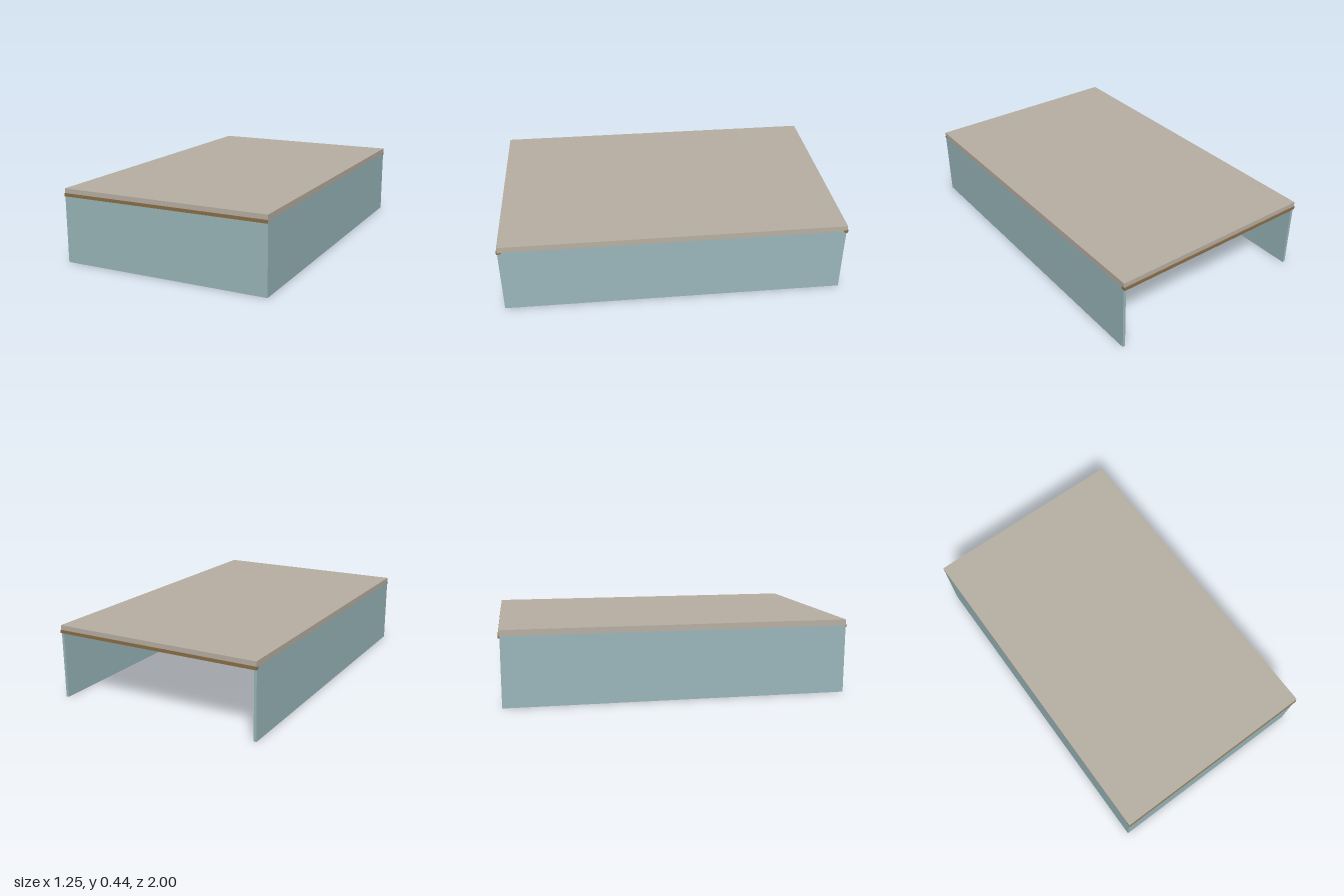
import * as THREE from 'three';

export function createModel() {
  const group = new THREE.Group();
  const mat = (name, color) => {
    const m = new THREE.MeshStandardMaterial({ color });
    m.name = name;
    return m;
  };
  const wallPaint = mat('teal wall', 0x9bb8bb);
  const roofPaint = mat('warm grey roof', 0xb8b0a4);
  const timber = mat('brown timber', 0x8b6f47);

  const add = (name, geometry, material, x, y, z) => {
    const mesh = new THREE.Mesh(geometry, material);
    mesh.name = name;
    mesh.position.set(x, y, z);
    group.add(mesh);
    return mesh;
  };
  const box = (name, material, w, h, d, x, y, z) =>
    add(name, new THREE.BoxGeometry(w, h, d), material, x, y, z);

  const W = 1.25, T = 0.016, wallTop = 0.4, roofTop = 0.435;

  // Flat roof slab
  box('roof', roofPaint, W, roofTop - wallTop, 1.99, 0, (roofTop + wallTop) / 2, 0);

  // Side walls, with an inner rail along the top of each
  for (const side of [1, -1]) {
    box('sideWall', wallPaint, T, wallTop, 1.985, side * (W / 2 - T / 2), wallTop / 2, 0.002);
    box('sideRail', timber, 0.018, 0.014, 1.96, side * (W / 2 - T - 0.009), 0.393, 0);
  }

  // Front wall; the back stays open
  box('frontWall', wallPaint, W - 2 * T, wallTop, T, 0, wallTop / 2, 0.994 - T / 2);

  // End beams, slightly proud of the roof and wall
  for (const end of [1, -1]) {
    box('endBeam', timber, W, 0.018, 0.025, 0, 0.399, end * 0.9875);
  }

  // Cross beams with a small round fitting in the middle of each
  for (const z of [-0.33, 0.33]) {
    box('crossBeam', timber, W - 2 * T, 0.018, 0.025, 0, 0.399, z);
    add('beamFitting', new THREE.CylinderGeometry(0.02, 0.02, 0.012, 20), timber, 0, 0.388, z);
  }

  return group;
}
